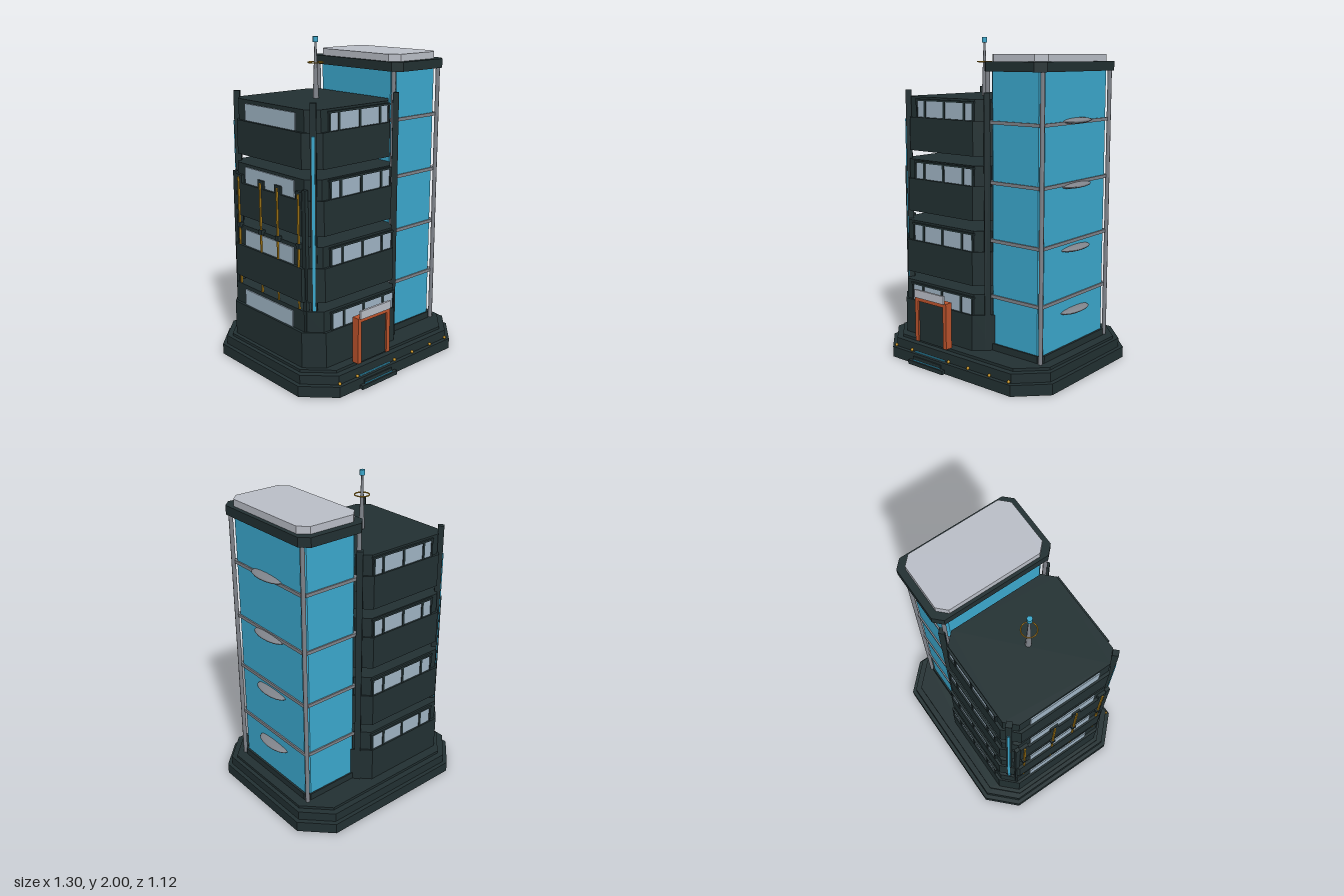
import * as THREE from 'three';

const CZ = -0.015; // shared depth centre of the building

const mat = (name, hex) => {
  const m = new THREE.MeshStandardMaterial({ color: hex });
  m.name = name;
  return m;
};

export function createModel() {
  const model = new THREE.Group();
  model.name = 'officeBuilding';
  const dark = mat('dark slate', 0x223032);
  const blue = mat('blue glass', 0x3ba8cd);
  const pale = mat('pale roof grey', 0xbabec7);
  const metal = mat('metal grey', 0x80848b);
  const pane = mat('window blue grey', 0x9fb4c4);
  const orange = mat('door orange', 0xbb532c);
  const yellow = mat('lamp yellow', 0xc4901c);

  const add = (name, geo, material, x, y, z) => {
    const m = new THREE.Mesh(geo, material);
    m.name = name;
    m.position.set(x, y, z);
    model.add(m);
    return m;
  };
  const box = (name, material, w, h, d, x, y, z) =>
    add(name, new THREE.BoxGeometry(w, h, d), material, x, y, z);

  // Upright prism with chamfered corners: half sizes a (x) and b (z), chamfer c, from y0 to y1
  const prism = (name, material, x, z, a, b, c, y0, y1) => {
    const s = new THREE.Shape([
      [a - c, -b], [a, -b + c], [a, b - c], [a - c, b],
      [-a + c, b], [-a, b - c], [-a, -b + c], [-a + c, -b],
    ].map(([u, v]) => new THREE.Vector2(u, v)));
    const g = new THREE.ExtrudeGeometry(s, { depth: y1 - y0, bevelEnabled: false });
    g.rotateX(-Math.PI / 2);
    return add(name, g, material, x, y0, z);
  };

  // Stepped base
  prism('baseLower', dark, 0, CZ, 0.65, 0.547, 0.17, 0, 0.067);
  prism('baseMiddle', dark, 0, CZ, 0.625, 0.522, 0.16, 0.067, 0.123);
  prism('baseUpper', dark, 0, CZ, 0.6, 0.485, 0.15, 0.123, 0.14);

  // Four separate storeys, each a wide parapet under a recessed window band
  const BX = -0.195;
  const storeys = [
    [0.14, 0.36, 0.487], [0.54, 0.745, 0.87], [0.93, 1.135, 1.255], [1.31, 1.515, 1.64],
  ];
  storeys.forEach(([y0, y1, y2], i) => {
    const a = 0.381 - i * 0.012, b = 0.425 - i * 0.014;
    prism('storeyParapet', dark, BX, CZ, a, b, 0.1 - i * 0.005, y0, y1);
    const wa = a - 0.018, wb = b - 0.016;
    prism('storeyWindowBand', dark, BX, CZ, wa, wb, 0.08 - i * 0.005, y1, y2);
    const half = 0.253 - i * 0.008, wx = -0.17, yc = y1 + 0.052;
    for (const s of [1, -1]) {
      // Front and back windows with three mullions and a frame
      const z = CZ + s * wb;
      box('window', pane, half * 2, 0.1, 0.008, wx, yc, z + s * 0.003);
      for (const dx of [-0.16, 0, 0.16])
        box('windowMullion', dark, 0.016, 0.104, 0.016, wx + dx, yc, z + s * 0.004);
      for (const e of [-1, 1])
        box('windowSideFrame', dark, 0.012, 0.112, 0.016, wx + e * half, yc, z + s * 0.004);
      box('windowHead', dark, half * 2 + 0.02, 0.012, 0.018, wx, yc + 0.055, z + s * 0.004);
    }
    // Side window
    box('sideWindow', pane, 0.008, 0.1, 0.46, BX - wa - 0.003, yc, CZ);
  });

  // Corner columns with blue light strips
  for (const s of [1, -1]) {
    for (const [x, t] of [[-0.497, -1], [0.145, 1]]) {
      const z = CZ + s * 0.35;
      const col = box('cornerColumn', dark, 0.036, 1.54, 0.036, x, 0.91, z);
      col.rotation.y = Math.PI / 4;
      if (t < 0) {
        const strip = box('columnLightStrip', blue, 0.016, 1.3, 0.008, x - 0.014, 0.85, z + s * 0.014);
        strip.rotation.y = -s * Math.PI / 4;
      }
    }
    // End posts of the side screen
    box('screenPost', dark, 0.022, 1.06, 0.03, -0.54, 0.67, CZ + s * 0.325);
  }

  // Side screen: yellow rods on dark brackets
  for (const z of [-0.295, -0.08, 0.08, 0.27]) {
    box('sideRod', yellow, 0.01, 0.68, 0.01, -0.556, 0.83, z);
    box('rodBracket', dark, 0.03, 0.05, 0.055, -0.538, 1.16, z);
    box('rodBracket', dark, 0.03, 0.03, 0.03, -0.55, 0.87, z);
  }

  // Glass tower with plinth, bands, corner posts and cap
  const TX = 0.336;
  prism('towerPlinth', dark, TX, CZ, 0.203, 0.338, 0.03, 0.14, 0.182);
  prism('towerGlass', blue, TX, CZ, 0.19, 0.328, 0.025, 0.18, 1.8);
  for (const y of [0.475, 0.815, 1.16, 1.51])
    prism('towerBand', metal, TX, CZ, 0.199, 0.337, 0.02, y - 0.01, y + 0.01);
  for (const sx of [-1, 1]) for (const sz of [-1, 1])
    add('towerPost', new THREE.CylinderGeometry(0.013, 0.013, 1.66, 8), metal,
      TX + sx * 0.196, 0.97, CZ + sz * 0.335);
  prism('towerCap', dark, TX + 0.004, CZ, 0.222, 0.386, 0.05, 1.8, 1.855);
  prism('towerRoof', pale, TX, CZ, 0.199, 0.344, 0.053, 1.855, 1.897);

  // Flattened fins on the outer tower wall
  for (const y of [0.39, 0.77, 1.145, 1.52]) {
    const fin = add('towerFin', new THREE.SphereGeometry(1, 16, 10), metal, 0.53, y, CZ);
    fin.scale.set(0.053, 0.017, 0.135);
  }

  // Short link between the building and the tower
  box('linkDeck', metal, 0.17, 0.025, 0.16, 0.06, 1.272, CZ);
  box('linkGlass', blue, 0.15, 0.022, 0.14, 0.06, 1.295, CZ);

  // Entrance: framed door, canopy sign and steps
  const DX = -0.175;
  for (const s of [-1, 1])
    box('doorFrameSide', orange, 0.027, 0.285, 0.048, DX + s * 0.118, 0.282, 0.475);
  box('doorFrameTop', orange, 0.263, 0.026, 0.048, DX, 0.412, 0.475);
  box('door', dark, 0.21, 0.26, 0.03, DX, 0.27, 0.473);
  box('doorCanopy', pale, 0.245, 0.05, 0.014, DX, 0.449, 0.505);
  box('entranceStepLow', dark, 0.29, 0.025, 0.06, DX, 0.0125, 0.525);
  box('entranceStepHigh', dark, 0.23, 0.05, 0.03, DX, 0.025, 0.525);
  box('stepLight', blue, 0.25, 0.008, 0.012, DX, 0.07, 0.508);
  box('stepLight', blue, 0.23, 0.006, 0.006, DX, 0.027, 0.541);

  // Lamps along the front ledge
  for (const x of [-0.465, -0.325, -0.012, 0.145, 0.31, 0.455])
    add('ledgeLamp', new THREE.SphereGeometry(0.01, 8, 6), yellow, x, 0.077, 0.515);

  // Rooftop antenna
  add('antennaMast', new THREE.CylinderGeometry(0.006, 0.018, 0.34, 8), metal, DX, 1.8, CZ);
  add('antennaBeacon', new THREE.CylinderGeometry(0.016, 0.016, 0.032, 10), blue, DX, 1.984, CZ);
  const ring = add('antennaRing', new THREE.TorusGeometry(0.045, 0.004, 6, 24), yellow, DX, 1.85, CZ);
  ring.rotation.x = Math.PI / 2;

  return model;
}
